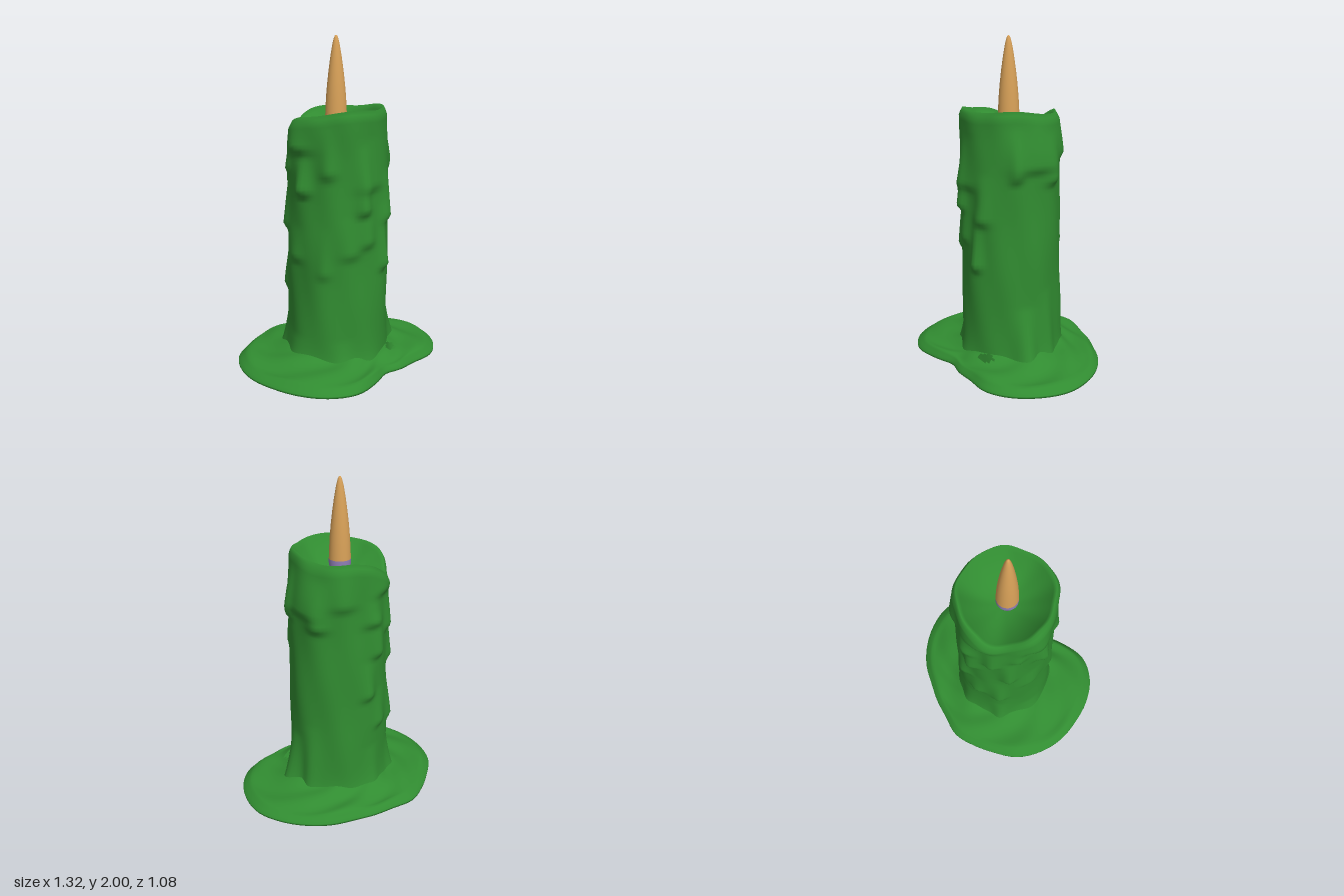
import * as THREE from 'three';

const SIDES = 96;
const clamp01 = (t) => Math.min(1, Math.max(0, t));
const smooth = (a, b, t) => { const k = clamp01((t - a) / (b - a)); return k * k * (3 - 2 * k); };
const lerp = (a, b, t) => a + (b - a) * t;
// bell-shaped falloff around an angle
const bell = (a, centre, width) => {
  const d = Math.atan2(Math.sin(a - centre), Math.cos(a - centre)) / width;
  return Math.exp(-d * d);
};

// Values spaced evenly round the circle, smoothly interpolated
function around(values, a) {
  const n = values.length;
  const p = (((a / (Math.PI * 2)) % 1 + 1) % 1) * n;
  const i = Math.floor(p), t = p - i;
  const [v0, v1, v2, v3] = [-1, 0, 1, 2].map((k) => values[(i + k + n) % n]);
  return v1 + 0.5 * t * (v2 - v0 + t * (2 * v0 - 5 * v1 + 4 * v2 - v3 + t * (3 * (v1 - v2) + v3 - v0)));
}

// Closed rings joined into a skin; point(angle, ring) gives [x, y, z]
function loft(rings, point, skip = () => false) {
  const pos = [], index = [];
  for (let j = 0; j <= rings; j++)
    for (let i = 0; i < SIDES; i++) pos.push(...point((i / SIDES) * Math.PI * 2, j));
  for (let j = 0; j < rings; j++)
    for (let i = 0; i < SIDES; i++) {
      const a = j * SIDES + i, b = j * SIDES + (i + 1) % SIDES, c = a + SIDES, d = b + SIDES;
      if (skip((pos[a * 3] + pos[d * 3]) / 2, (pos[a * 3 + 2] + pos[d * 3 + 2]) / 2)) continue;
      index.push(a, c, b, b, c, d);
    }
  const g = new THREE.BufferGeometry();
  g.setAttribute('position', new THREE.Float32BufferAttribute(pos, 3));
  g.setIndex(index);
  g.computeVertexNormals();
  return g;
}

// Wax runs: angle (0 = +x, 90 = +z), lower end, length, angular width, thickness
const DRIPS = [
  [180, 1.34, 0.2, 0.3, 0.05], [172, 1.09, 0.25, 0.16, 0.06], [185, 0.68, 0.2, 0.2, 0.025],
  [205, 1.2, 0.25, 0.14, 0.03], [215, 0.85, 0.3, 0.13, 0.035], [235, 1.1, 0.3, 0.14, 0.035],
  [0, 1.24, 0.3, 0.4, 0.03], [-25, 1.16, 0.3, 0.2, 0.04], [22, 1.19, 0.3, 0.13, 0.035],
  [100, 0.98, 0.4, 0.14, 0.045], [90, 1.12, 0.3, 0.3, 0.025], [62, 0.92, 0.3, 0.16, 0.035],
  [70, 0.63, 0.4, 0.12, 0.045], [115, 0.72, 0.25, 0.2, 0.025], [95, 0.78, 0.25, 0.16, 0.03],
  [140, 1.2, 0.3, 0.16, 0.03], [145, 0.6, 0.3, 0.14, 0.02], [250, 1.36, 0.14, 0.35, 0.03],
  [270, 1.18, 0.2, 0.2, 0.035], [262, 0.97, 0.3, 0.15, 0.035], [275, 0.7, 0.25, 0.16, 0.035],
  [255, 0.48, 0.25, 0.16, 0.03], [305, 1.3, 0.25, 0.25, 0.025], [225, 0.45, 0.3, 0.13, 0.03],
  [12, -0.1, 0.5, 0.2, 0.1], [-15, -0.1, 0.6, 0.16, 0.05], [270, -0.1, 0.45, 0.2, 0.06],
  [225, -0.1, 0.4, 0.14, 0.06], [185, -0.1, 0.3, 0.25, 0.05], [125, -0.1, 0.3, 0.2, 0.04],
].map(([deg, ...rest]) => [deg * Math.PI / 180, ...rest]);

const HOLE = { x: 0.18, z: 0.29, angle: 1.02 };

function waxRadius(a, y) {
  let r = lerp(0.312, 0.297, clamp01(y / 1.5));
  r += 0.004 * Math.sin(5 * a + 3 * y) + 0.003 * Math.sin(9 * a - 7 * y) + 0.002 * Math.sin(11 * y + 2 * a);
  r += 0.045 * Math.exp(-y / 0.07) * (1 - bell(a, HOLE.angle, 0.4));
  for (const [angle, low, length, width, thick] of DRIPS)
    r += thick * bell(a, angle, width) * smooth(low - 0.035, low + 0.03, y) * (1 - clamp01((y - low) / length));
  return r;
}

// Rim is lowest at the back on the right
const rimHeight = (a) => 1.565 + 0.02 * Math.cos(a - 0.9) + 0.008 * Math.sin(4 * a)
  - 0.11 * bell(a, Math.PI * 1.25, 0.55);

// Column with a melted bowl in its top
function columnGeometry() {
  const wall = 70, bowl = 14;
  return loft(wall + bowl, (a, j) => {
    const rim = rimHeight(a);
    let r, y;
    if (j <= wall) {
      y = rim * j / wall;
      r = waxRadius(a, y) - 0.02 * smooth(rim - 0.04, rim, y);
    } else {
      const s = 1 - (j - wall) / bowl;
      r = (waxRadius(a, rim) - 0.02) * s;
      y = lerp(1.385, rim, Math.pow(s, 2.2));
    }
    return [-0.015 - 0.015 * smooth(1.3, 1.55, y) + r * Math.cos(a), y, 0.01 + r * Math.sin(a)];
  });
}

// Spilled pool outline, every 15 degrees from +x towards +z
const POOL = [0.655, 0.65, 0.63, 0.585, 0.5, 0.465, 0.44, 0.515, 0.615, 0.655, 0.66, 0.655,
  0.66, 0.655, 0.64, 0.6, 0.58, 0.57, 0.525, 0.515, 0.52, 0.555, 0.59, 0.625];

// Flat underside, rounded lip, then the top rising to the column
function poolGeometry() {
  const n = 20;
  const inHole = (x, z) => {
    const c = Math.cos(HOLE.angle), s = Math.sin(HOLE.angle), dx = x - HOLE.x, dz = z - HOLE.z;
    return Math.hypot((dx * c + dz * s) / 0.03, (dz * c - dx * s) / 0.05) < 1;
  };
  return loft(2 * n + 2, (a, j) => {
    const edge = around(POOL, a);
    let r, y = 0;
    if (j === 0) r = 0;
    else if (j <= n + 1) r = lerp(0.26, edge, (j - 1) / n);
    else {
      const t = (j - n - 2) / n;
      r = lerp(edge, 0.26, t);
      const ripple = 0.008 * Math.sin(7 * a + 9 * t) + 0.006 * Math.sin(4 * a - 6 * t);
      y = 0.012 + 0.035 * smooth(0, 0.14, t) + 0.075 * t * t + ripple * smooth(0, 0.25, t);
    }
    return [r * Math.cos(a), y, r * Math.sin(a)];
  }, inHole);
}

export function createModel() {
  const material = (name, color, side = THREE.FrontSide) => {
    const m = new THREE.MeshStandardMaterial({ color, side });
    m.name = name;
    return m;
  };
  const green = material('green wax', 0x318c31, THREE.DoubleSide);
  const amber = material('amber flame', 0xd8a158);
  const violet = material('violet wick', 0x9180b8);

  const model = new THREE.Group();
  model.name = 'candle';
  const add = (name, geometry, mat, parent = model) => {
    const mesh = new THREE.Mesh(geometry, mat);
    mesh.name = name;
    parent.add(mesh);
    return mesh;
  };
  const lathe = (points) => new THREE.LatheGeometry(points.map(([r, y]) => new THREE.Vector2(r, y)), 32);

  add('waxColumn', columnGeometry(), green);
  add('waxPool', poolGeometry(), green);

  // Flame and wick share one axis
  const light = new THREE.Group();
  light.name = 'flameAndWick';
  light.position.set(-0.034, 0, 0.014);
  model.add(light);
  add('flame', lathe([[0.066, 1.51], [0.064, 1.56], [0.06, 1.64], [0.053, 1.72], [0.044, 1.8],
    [0.033, 1.88], [0.021, 1.95], [0.012, 1.985], [0.006, 1.997], [0, 2]]), amber, light);
  add('flameBase', lathe([[0, 1.455], [0.05, 1.455], [0.062, 1.462], [0.066, 1.475], [0.066, 1.51]]), violet, light);
  add('wick', new THREE.CylinderGeometry(0.011, 0.011, 0.12, 12).translate(0, 1.41, 0), violet, light);
  return model;
}
